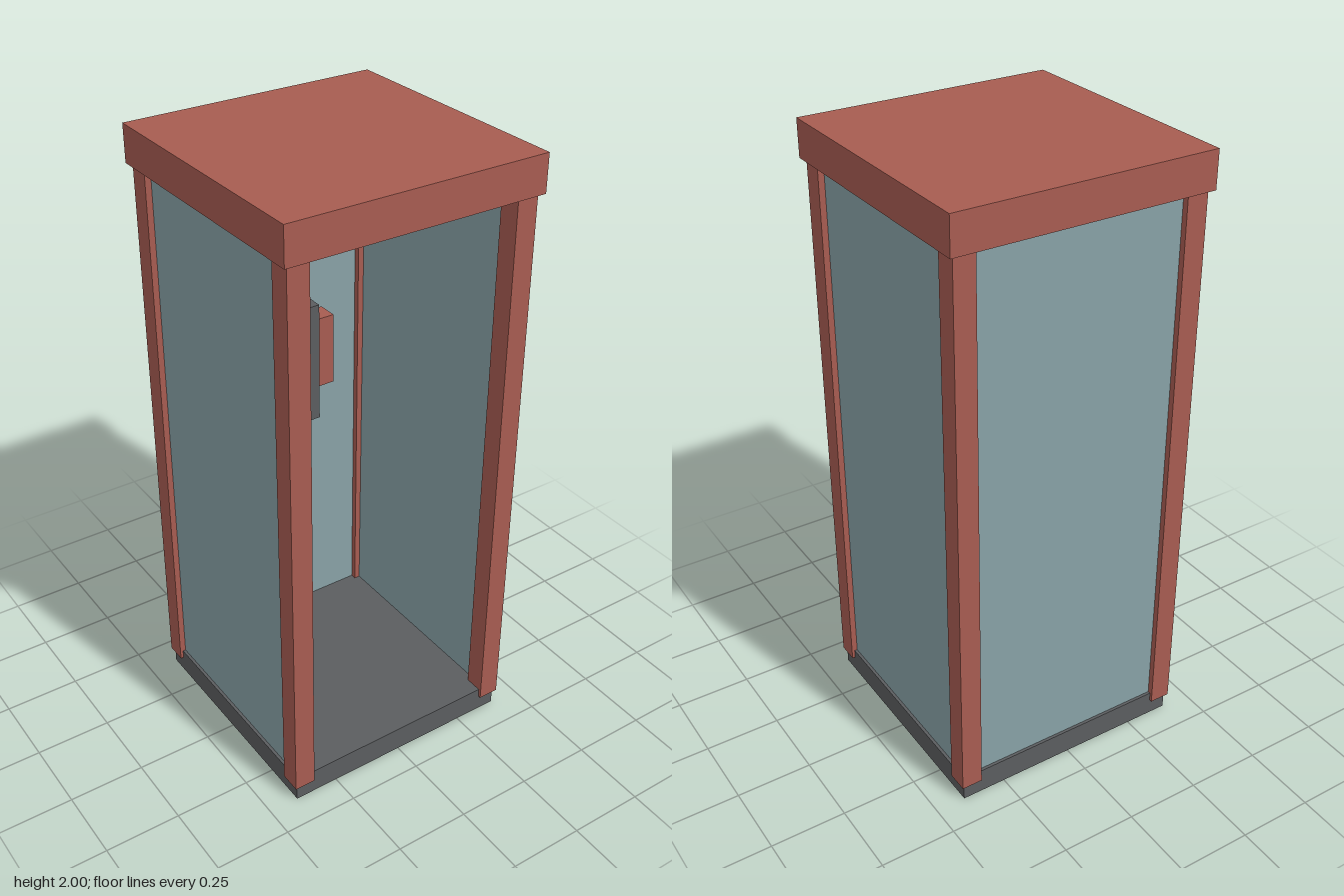
import * as THREE from 'three';

export function createModel() {
  const red = new THREE.MeshStandardMaterial({ name: 'brick red', color: 0xa75c51 });
  const glass = new THREE.MeshStandardMaterial({ name: 'grey blue glass', color: 0x88a1a6 });
  const dark = new THREE.MeshStandardMaterial({ name: 'dark grey', color: 0x5b5d5f });

  const booth = new THREE.Group();
  booth.name = 'phoneBooth';

  // Box given by its lowest and highest corners
  function box(name, material, [x0, y0, z0], [x1, y1, z1]) {
    const geometry = new THREE.BoxGeometry(x1 - x0, y1 - y0, z1 - z0);
    const mesh = new THREE.Mesh(geometry, material);
    mesh.position.set((x0 + x1) / 2, (y0 + y1) / 2, (z0 + z1) / 2);
    mesh.name = name;
    booth.add(mesh);
  }

  // Floor slab and overhanging roof
  box('floor', dark, [-0.4, 0, -0.4], [0.4, 0.085, 0.4]);
  box('roof', red, [-0.425, 1.88, -0.425], [0.425, 2, 0.425]);

  // Corner posts, reaching a little below the floor's top
  for (const [side, x] of [['Right', -0.375], ['Left', 0.375]]) {
    for (const [end, z] of [['front', 0.375], ['back', -0.375]]) {
      box(end + side + 'Post', red, [x - 0.035, 0.055, z - 0.035], [x + 0.035, 1.88, z + 0.035]);
    }
  }

  // Panes recessed between the posts; the front is open
  box('rightPane', glass, [-0.39, 0.085, -0.34], [-0.36, 1.88, 0.34]);
  box('leftPane', glass, [0.36, 0.085, -0.34], [0.39, 1.88, 0.34]);
  box('backPane', glass, [-0.34, 0.085, -0.39], [0.34, 1.88, -0.36]);

  // Telephone on the back pane with its handset at the side
  box('telephone', dark, [-0.125, 0.92, -0.36], [0.125, 1.34, -0.25]);
  box('handset', red, [0.125, 1.03, -0.335], [0.19, 1.28, -0.265]);

  return booth;
}
